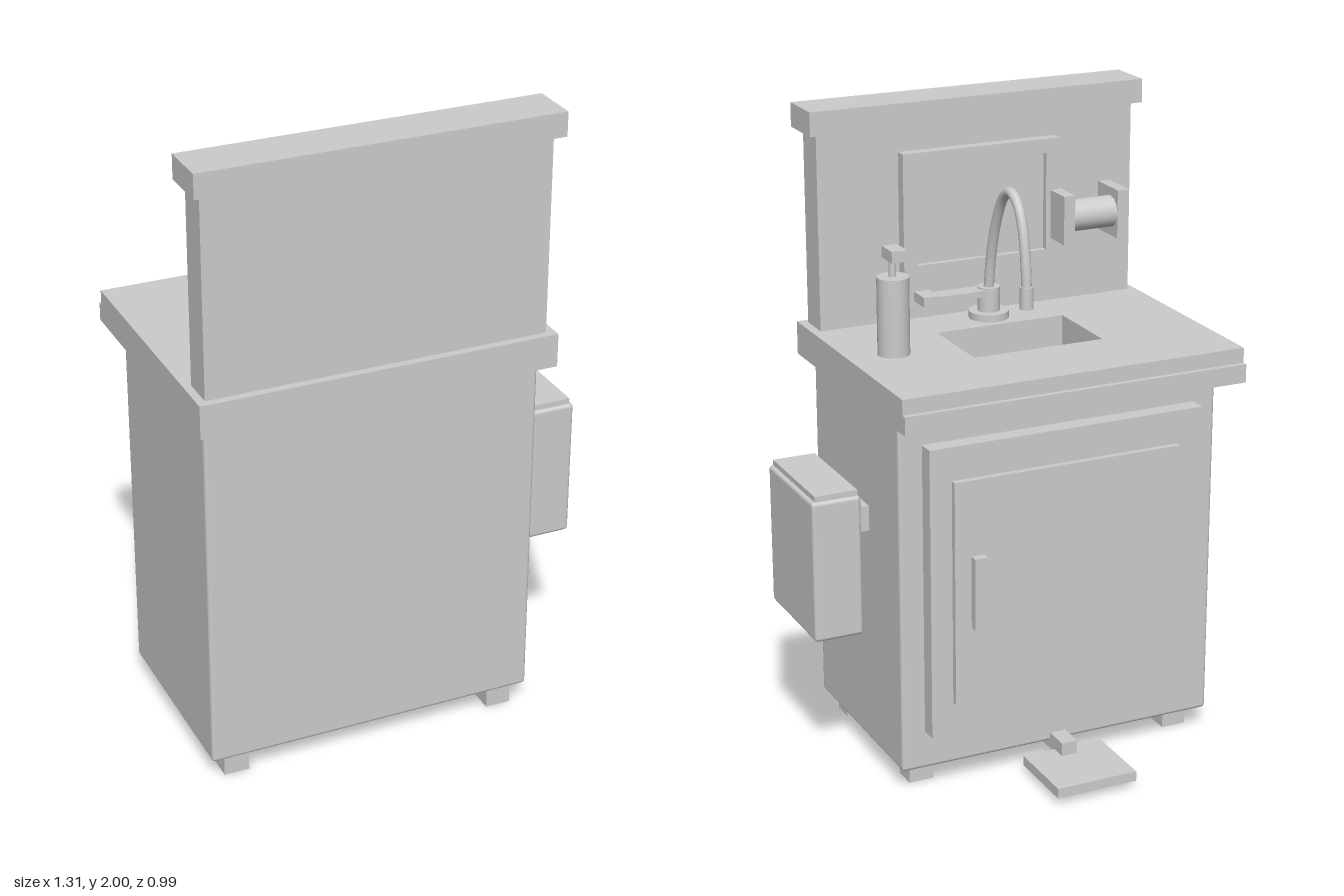
import * as THREE from 'three';
import { RoundedBoxGeometry } from 'three/addons/geometries/RoundedBoxGeometry.js';

export function createModel() {
  const model = new THREE.Group();
  model.name = 'handWashStation';
  const grey = new THREE.MeshStandardMaterial({ color: 0xcccccc });

  const add = (name, geometry, x = 0, y = 0, z = 0) => {
    const mesh = new THREE.Mesh(geometry, grey);
    mesh.name = name;
    mesh.position.set(x, y, z);
    model.add(mesh);
    return mesh;
  };
  // Box given by its extents; a radius rounds the edges
  const box = (name, [x0, x1], [y0, y1], [z0, z1], radius = 0) => {
    const size = [x1 - x0, y1 - y0, z1 - z0];
    const geometry = radius
      ? new RoundedBoxGeometry(...size, 2, radius)
      : new THREE.BoxGeometry(...size);
    return add(name, geometry, (x0 + x1) / 2, (y0 + y1) / 2, (z0 + z1) / 2);
  };
  // Upright cylinder from y0 to y1
  const post = (name, r, x, z, y0, y1) =>
    add(name, new THREE.CylinderGeometry(r, r, y1 - y0, 32), x, (y0 + y1) / 2, z);
  // Rectangular slab with a rectangular opening
  const frame = ([x0, x1], [y0, y1], [hx0, hx1], [hy0, hy1], depth) => {
    const rect = (Type, a, b, c, d) => new Type([[a, c], [b, c], [b, d], [a, d]]
      .map(p => new THREE.Vector2(...p)));
    const shape = rect(THREE.Shape, x0, x1, y0, y1);
    shape.holes.push(rect(THREE.Path, hx0, hx1, hy0, hy1));
    return new THREE.ExtrudeGeometry(shape, { depth, bevelEnabled: false });
  };

  // Cabinet and feet
  box('cabinet', [-0.625, 0.43], [0.07, 1.2], [-0.22, 0.437], 0.012);
  for (const x of [-0.54, 0.345])
    for (const z of [-0.127, 0.377])
      box('foot', [x - 0.04, x + 0.04], [0, 0.075], [z - 0.038, z + 0.038]);

  // Door with raised panel and handle
  box('door', [-0.55, 0.355], [0.195, 1.12], [-0.275, -0.215]);
  box('doorPanel', [-0.465, 0.285], [0.3, 1.015], [-0.295, -0.27]);
  box('doorHandle', [0.19, 0.232], [0.545, 0.775], [-0.322, -0.29]);

  // Countertop with sink opening and front lip
  const top = frame([-0.655, 0.463], [-0.493, 0.333], [-0.31, 0.118], [-0.197, 0.073], 0.105);
  top.rotateX(-Math.PI / 2);
  add('countertop', top, 0, 1.205, 0);
  box('countertopLip', [-0.655, 0.463], [1.205, 1.263], [-0.35, -0.33]);

  // Backsplash and cap
  box('backsplash', [-0.63, 0.435], [1.305, 1.93], [0.363, 0.468]);
  box('backsplashCap', [-0.655, 0.463], [1.925, 2], [0.337, 0.495]);

  // Mirror with frame
  add('mirrorFrame', frame([-0.36, 0.17], [1.445, 1.845], [-0.315, 0.125], [1.49, 1.8], 0.04), 0, 0, 0.325);
  box('mirror', [-0.32, 0.13], [1.485, 1.805], [0.345, 0.365]);

  // Towel roll between two brackets
  for (const x of [-0.537, -0.35])
    box('rollBracket', [x - 0.019, x + 0.019], [1.525, 1.68], [0.23, 0.365]);
  const roll = add('towelRoll', new THREE.CylinderGeometry(0.05, 0.05, 0.16, 32), -0.444, 1.603, 0.281);
  roll.rotation.z = Math.PI / 2;

  // Tap: base, body, lever, curved spout and nozzle
  const tapX = -0.096, tapZ = 0.282;
  post('tapBase', 0.063, tapX, tapZ, 1.305, 1.333);
  post('tapBody', 0.035, tapX, tapZ, 1.33, 1.41);
  box('tapLever', [tapX, 0.1], [1.385, 1.405], [0.252, 0.312]);
  box('tapLeverTip', [0.09, 0.14], [1.38, 1.411], [0.244, 0.32]);
  const path = new THREE.CatmullRomCurve3([
    [0.282, 1.4], [0.264, 1.51], [0.226, 1.63], [0.175, 1.718], [0.125, 1.746],
    [0.075, 1.718], [0.04, 1.65], [0.02, 1.55], [0.012, 1.46],
  ].map(([z, y]) => new THREE.Vector3(tapX, y, z)));
  add('tapSpout', new THREE.TubeGeometry(path, 48, 0.016, 16));
  post('tapNozzle', 0.021, tapX, 0.013, 1.41, 1.48);

  // Soap dispenser
  post('soapBottle', 0.049, 0.318, 0.066, 1.305, 1.55);
  post('soapPumpStem', 0.011, 0.318, 0.068, 1.545, 1.61);
  box('soapPumpHead', [0.293, 0.342], [1.605, 1.64], [0.014, 0.091]);

  // Waste box on the side wall
  box('wasteBoxBracket', [0.425, 0.5], [0.78, 0.86], [-0.013 + 0.025, 0.168]);
  box('wasteBox', [0.494, 0.65], [0.49, 0.938], [-0.088, 0.278], 0.012);
  box('wasteBoxLid', [0.502, 0.638], [0.93, 0.955], [-0.078, 0.268]);

  // Foot pedal with its linkage
  box('pedalArm', [-0.122, -0.07], [0.045, 0.073], [-0.26, -0.13]);
  box('pedalHinge', [-0.122, -0.07], [0.05, 0.098], [-0.302, -0.215]);
  box('pedalPlate', [-0.23, 0.037], [0.023, 0.055], [-0.49, -0.25]);

  return model;
}
